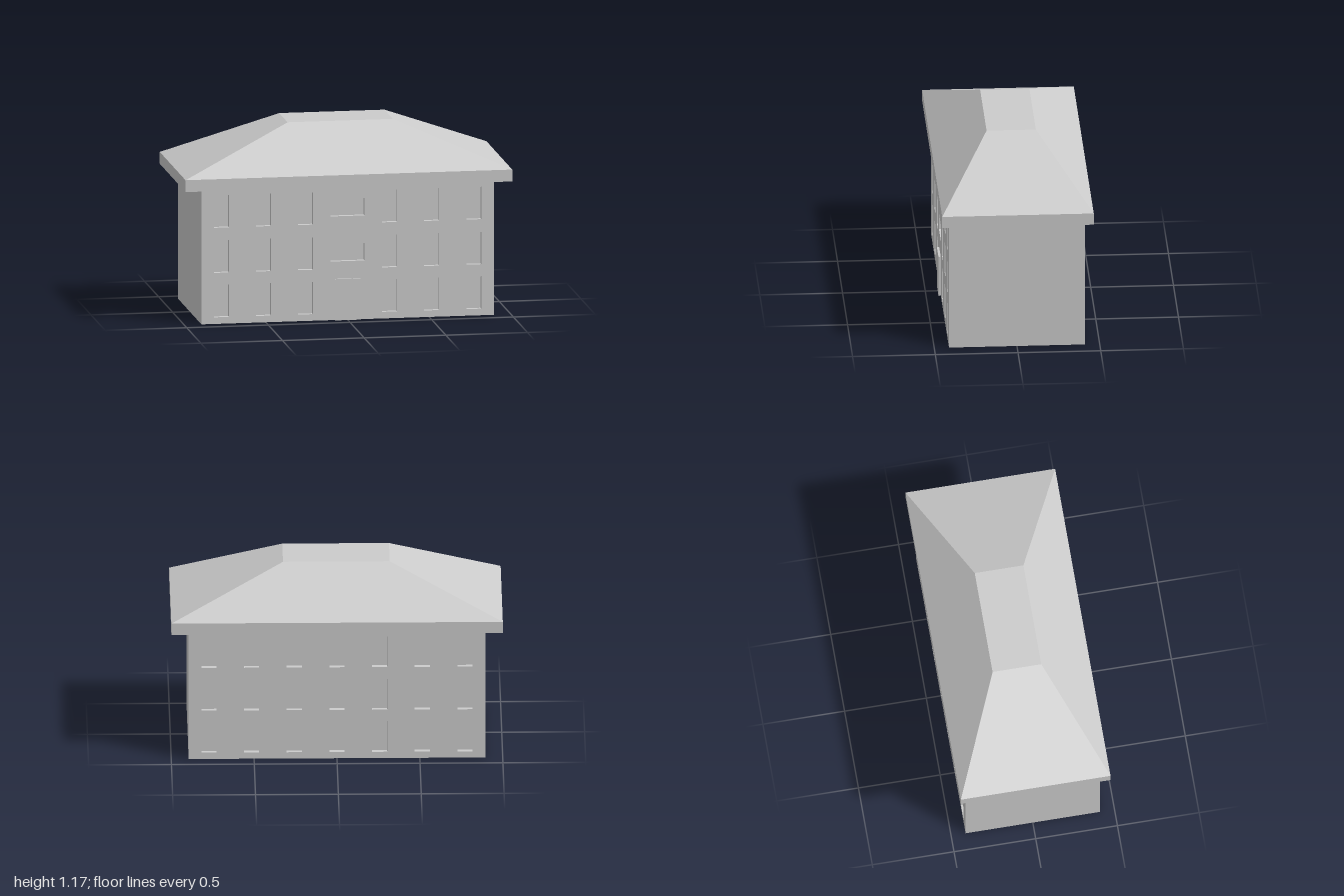
import * as THREE from 'three';

const WALL_X = 0.895, WALL_Z = 0.411, WALL_TOP = 0.825, EAVE_TOP = 0.898, ROOF_TOP = 1.173;
const RECESS = 0.03;
const ROWS = [0.14, 0.413, 0.69]; // window centre heights
const PITCH = 0.2575; // window column spacing

const material = new THREE.MeshStandardMaterial({ color: 0xcccccc, flatShading: true });

function addMesh(parent, name, geometry, x = 0, y = 0, z = 0) {
  const mesh = new THREE.Mesh(geometry, material);
  mesh.name = name;
  mesh.position.set(x, y, z);
  parent.add(mesh);
  return mesh;
}

function rectangle(target, x, y, w, h) {
  target.moveTo(x - w / 2, y - h / 2);
  target.lineTo(x + w / 2, y - h / 2);
  target.lineTo(x + w / 2, y + h / 2);
  target.lineTo(x - w / 2, y + h / 2);
  target.closePath();
  return target;
}

// Wall skin pierced by three rows of windows
function facadeGeometry(isFront) {
  const wall = rectangle(new THREE.Shape(), 0, WALL_TOP / 2, WALL_X * 2, WALL_TOP);
  ROWS.forEach((y, row) => {
    for (let column = -3; column <= 3; column++) {
      const wide = isFront && column === 0;
      if (wide && row === 0) continue; // the door goes here
      const [w, h] = wide ? [0.208, 0.106] : [0.092, 0.199];
      rectangle(wall.holes[wall.holes.push(new THREE.Path()) - 1], column * PITCH, y, w, h);
    }
  });
  return new THREE.ExtrudeGeometry(wall, { depth: RECESS, bevelEnabled: false });
}

// Hipped roof: a box whose top is drawn in to a flat deck
function roofGeometry() {
  const height = ROOF_TOP - EAVE_TOP;
  const geometry = new THREE.BoxGeometry(2, height, 0.916);
  const p = geometry.attributes.position;
  for (let i = 0; i < p.count; i++) {
    if (p.getY(i) > 0) {
      p.setX(i, Math.sign(p.getX(i)) * 0.322);
      p.setZ(i, Math.sign(p.getZ(i)) * 0.149);
    }
  }
  geometry.translate(0, height / 2, 0);
  geometry.computeVertexNormals();
  return geometry;
}

export function createModel() {
  const model = new THREE.Group();
  model.name = 'building';

  // Solid core forms the end walls and the backs of the window recesses
  const inner = WALL_Z - RECESS;
  addMesh(model, 'wallCore', new THREE.BoxGeometry(WALL_X * 2, WALL_TOP, inner * 2), 0, WALL_TOP / 2, 0);
  addMesh(model, 'frontFacade', facadeGeometry(true), 0, 0, inner);
  addMesh(model, 'backFacade', facadeGeometry(false), 0, 0, -inner).rotation.y = Math.PI;

  // Door panel stands slightly proud of the front wall
  addMesh(model, 'frontDoor', new THREE.BoxGeometry(0.157, 0.253, 0.03), 0, 0.1265, 0.41);

  // Overhanging eaves and roof
  const eaveHeight = EAVE_TOP - WALL_TOP;
  addMesh(model, 'eaves', new THREE.BoxGeometry(2, eaveHeight, 0.916), 0, WALL_TOP + eaveHeight / 2, 0);
  addMesh(model, 'hippedRoof', roofGeometry(), 0, EAVE_TOP, 0);

  return model;
}
